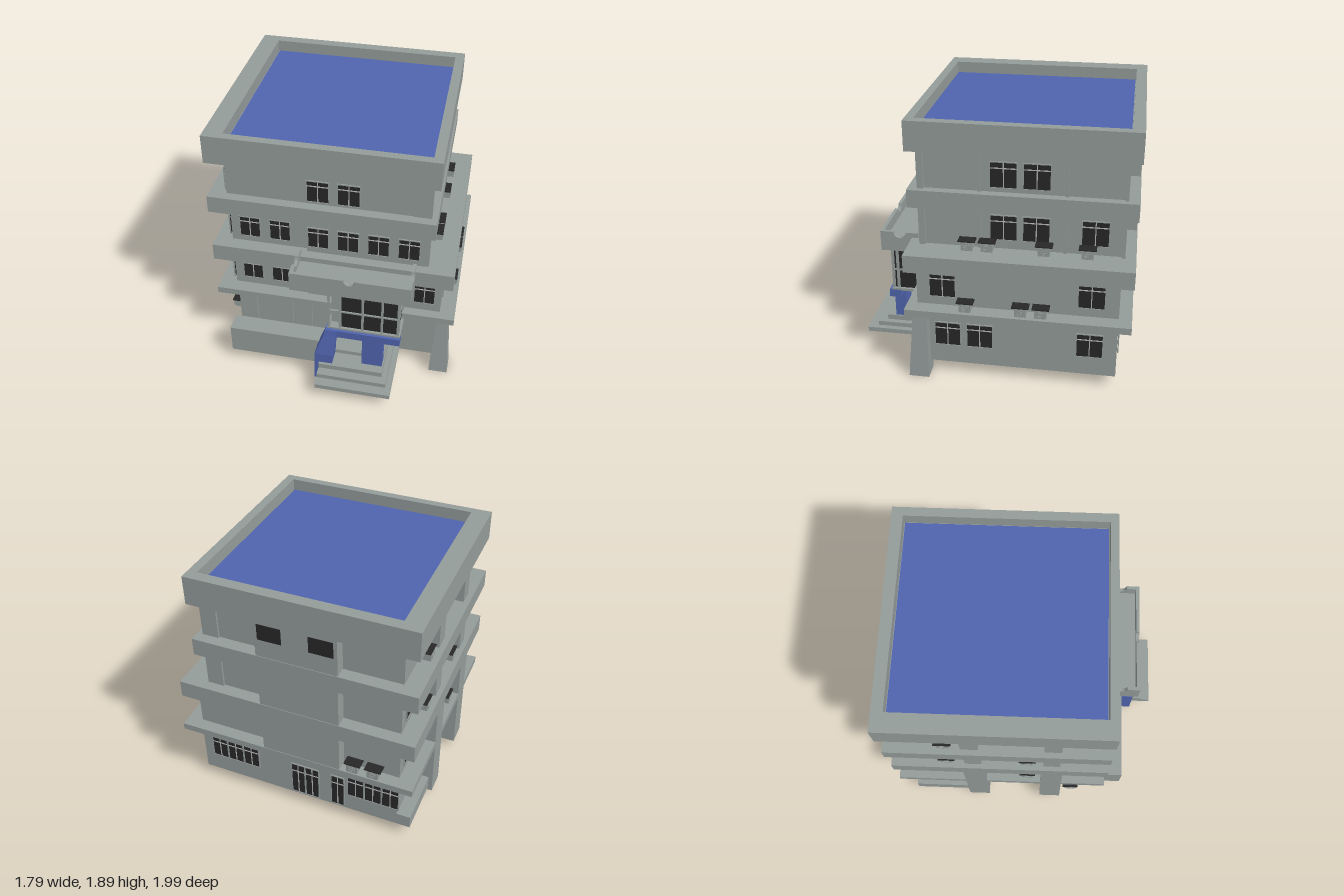
import * as THREE from 'three';

const mat = (name, color) => {
  const m = new THREE.MeshStandardMaterial({ color });
  m.name = name;
  return m;
};

export function createModel() {
  const wall = mat('concrete grey', 0x949c9a);
  const blue = mat('blue paint', 0x5064ae);
  const dark = mat('dark glass', 0x272727);
  const frame = mat('window frame grey', 0xb2b5b3);
  const model = new THREE.Group();
  model.name = 'officeBuilding';

  const add = (parent, name, geo, m) => {
    const mesh = new THREE.Mesh(geo, m);
    mesh.name = name;
    parent.add(mesh);
    return mesh;
  };
  // Box given by its limits on each axis
  const box = (name, x0, x1, y0, y1, z0, z1, m = wall, parent = model) => {
    const mesh = add(parent, name, new THREE.BoxGeometry(x1 - x0, y1 - y0, z1 - z0), m);
    mesh.position.set((x0 + x1) / 2, (y0 + y1) / 2, (z0 + z1) / 2);
    return mesh;
  };
  // Solid through rectangular sections [y, x0, x1, z0, z1], bottom to top
  const loft = (name, sections, m) => {
    const pos = [];
    const ring = ([y, x0, x1, z0, z1]) => [[x0, y, z1], [x1, y, z1], [x1, y, z0], [x0, y, z0]];
    const quad = (a, b, c, d) => pos.push(...a, ...b, ...c, ...a, ...c, ...d);
    const rings = sections.map(ring);
    for (let i = 0; i < rings.length - 1; i++)
      for (let k = 0; k < 4; k++) {
        const n = (k + 1) % 4;
        quad(rings[i][k], rings[i][n], rings[i + 1][n], rings[i + 1][k]);
      }
    const top = rings[rings.length - 1], low = rings[0];
    quad(top[0], top[1], top[2], top[3]);
    quad(low[3], low[2], low[1], low[0]);
    const geo = new THREE.BufferGeometry();
    geo.setAttribute('position', new THREE.Float32BufferAttribute(pos, 3));
    geo.computeVertexNormals();
    return add(model, name, geo, m);
  };

  // Storeys: [name, x0, x1, y0, y1, z0, z1]
  [
    ['groundFloor', -0.76, 0.78, 0.09, 0.52, -0.89, 0.49],
    ['secondFloor', -0.77, 0.77, 0.55, 0.86, -0.89, 0.49],
    ['secondFloorFront', -0.21, 0.77, 0.55, 0.86, 0.4, 0.52],
    ['thirdFloor', -0.77, 0.64, 0.95, 1.28, -0.89, 0.49],
    ['thirdFloorFront', -0.21, 0.64, 0.95, 1.28, 0.4, 0.52],
    ['topFloor', -0.775, 0.635, 1.37, 1.7, -0.89, 0.51],
    ['lowerSlab', -0.89, 0.88, 0.51, 0.56, -0.98, 0.59],
    ['secondFloorBand', -0.893, 0.85, 0.84, 0.97, -0.98, 0.59],
    ['thirdFloorBand', -0.9, 0.697, 1.26, 1.39, -0.98, 0.58],
    ['roofSlab', -0.895, 0.705, 1.67, 1.79, -0.98, 0.58],
    ['backStairShaft', -0.36, 0.22, 0.55, 1.7, -0.976, -0.85],
  ].forEach((s) => box(...s));

  // Roof surface and parapet
  box('roofSurface', -0.752, 0.63, 1.785, 1.8, -0.895, 0.515, blue);
  box('parapetLeft', -0.895, -0.76, 1.78, 1.882, -0.98, 0.58);
  box('parapetRight', 0.638, 0.705, 1.78, 1.882, -0.98, 0.58);
  box('parapetFront', -0.76, 0.638, 1.78, 1.882, 0.52, 0.58);
  box('parapetBack', -0.76, 0.638, 1.78, 1.882, -0.98, -0.9);

  // Left columns
  for (const [z0, z1] of [[-0.47, -0.31], [0.1, 0.26]]) {
    box('leftColumnLower', -0.89, -0.775, 0.06, 0.86, z0, z1);
    box('leftColumnUpper', -0.86, -0.795, 0.95, 1.7, z0 + 0.02, z1 - 0.02);
  }
  box('leftCurb', -0.86, -0.75, 0.09, 0.19, -0.89, -0.47);

  // Tapered corner pillar
  loft('cornerPillar', [[0, 0.73, 0.87, 0.435, 0.58], [0.52, 0.755, 0.835, 0.44, 0.54]], wall);

  // Pilasters on the right and front walls
  for (const [x, y0, y1] of [[0.64, 0.96, 1.27], [0.635, 1.38, 1.68]]) {
    for (const z of [0.09, -0.5]) box('rightPilaster', x - 0.01, x + 0.015, y0, y1, z - 0.012, z + 0.012);
    box('rightCornerPost', x - 0.1, x + 0.022, y0, y1, 0.47, 0.515);
    box('rightRearPost', x - 0.1, x + 0.022, y0, y1, -0.905, -0.88);
  }
  for (const x of [-0.63, -0.35, -0.2]) box('frontPilaster', x - 0.012, x + 0.012, 0.09, 0.52, 0.48, 0.51);

  // Window or door: u runs to the viewer's right along the given wall
  const turns = { front: 0, right: Math.PI / 2, back: Math.PI, left: -Math.PI / 2 };
  const opening = (side, at, u, y, w, h, bars = true, name = 'Window') => {
    const g = new THREE.Group();
    g.name = side + name;
    const t = 0.007;
    box('glass', -w / 2, w / 2, -h / 2, h / 2, 0, 0.004, dark, g);
    if (bars) {
      for (const s of [-1, 1]) {
        box('sideFrame', s * w / 2 - t / 2, s * w / 2 + t / 2, -h / 2, h / 2, 0, 0.009, wall, g);
        box('rail', -w / 2, w / 2, s * h / 2 - t / 2, s * h / 2 + t / 2, 0, 0.009, wall, g);
      }
      box('transom', -w / 2, w / 2, h * 0.26 - t / 2, h * 0.26 + t / 2, 0, 0.008, frame, g);
      box('mullion', -t / 2, t / 2, -h / 2, h / 2, 0, 0.008, frame, g);
    }
    g.rotation.y = turns[side];
    if (side === 'front' || side === 'back') g.position.set(u, y, at);
    else g.position.set(at, y, u);
    model.add(g);
  };

  // Front windows
  for (const x of [-0.125, 0.09]) opening('front', 0.512, x, 1.496, 0.155, 0.17);
  for (const x of [-0.63, -0.41]) {
    opening('front', 0.492, x, 1.105, 0.15, 0.17);
    opening('front', 0.492, x, 0.71, 0.15, 0.17);
  }
  for (const x of [-0.125, 0.09, 0.305, 0.52]) opening('front', 0.522, x, 1.105, 0.15, 0.17);
  opening('front', 0.522, 0.65, 0.715, 0.15, 0.17);

  // Right windows: wall x, height, positions along z
  for (const [x, y, zs] of [
    [0.637, 1.515, [-0.075, -0.3]],
    [0.642, 1.13, [-0.075, -0.3, -0.7]],
    [0.772, 0.72, [0.335, -0.7]],
    [0.782, 0.33, [0.305, 0.075, -0.7]],
  ]) for (const z of zs) opening('right', x, z, y, 0.185, 0.185);

  // Left windows
  for (const [x, y, zs] of [
    [-0.777, 1.51, [-0.15, 0.04, 0.42]],
    [-0.772, 1.12, [-0.74, -0.56, 0.0, 0.42]],
    [-0.772, 0.71, [-0.74, -0.56, 0.42]],
  ]) for (const z of zs) opening('left', x, z, y, 0.17, 0.18);

  // Back windows and doors
  for (const x of [0.64, 0.51, 0.38, -0.45, -0.58, -0.71]) opening('back', -0.892, x, 0.33, 0.125, 0.18);
  for (const x of [0.11, -0.25]) opening('back', -0.978, x, 1.59, 0.17, 0.12, false);
  for (const x of [0.0, -0.11]) opening('back', -0.892, x, 0.25, 0.105, 0.28, true, 'Door');
  opening('back', -0.892, -0.31, 0.25, 0.1, 0.28, true, 'Door');

  // Air conditioners with dark tops; the fan faces outwards
  const cooler = (side, x, y, z) => {
    const g = new THREE.Group();
    g.name = 'airConditioner';
    box('case', -0.04, 0.04, 0, 0.065, -0.035, 0.035, wall, g);
    box('lid', -0.06, 0.06, 0.065, 0.072, -0.038, 0.038, dark, g);
    const ring = add(g, 'fanRing', new THREE.TorusGeometry(0.024, 0.003, 4, 16), wall);
    ring.position.set(0, 0.032, 0.036);
    for (const d of [-0.01, 0.01]) box('fanBar', -0.022, 0.022, 0.03 + d, 0.034 + d, 0.035, 0.039, wall, g);
    g.position.set(x, y, z);
    g.rotation.y = turns[side];
    model.add(g);
  };
  for (const z of [0.17, 0.03, -0.36, -0.655]) cooler('right', 0.69, 0.975, z);
  for (const z of [0.165, -0.22, -0.36]) cooler('right', 0.825, 0.565, z);
  for (const x of [-0.45, -0.6]) cooler('back', x, 0.56, -0.935);
  for (const [y, z] of [[1.39, -0.57], [0.97, -0.58], [0.97, 0.0], [0.56, 0.0], [0.19, 0.34]]) cooler('left', -0.82, y, z);

  // Entrance canopy: panels with a round scoop in the top edge
  const scoopPanel = (name, len, r) => {
    const s = new THREE.Shape();
    s.moveTo(-len / 2, 0);
    s.lineTo(len / 2, 0);
    s.lineTo(len / 2, 0.15);
    s.lineTo(r, 0.15);
    s.absarc(0, 0.15, r, 0, Math.PI, true);
    s.lineTo(-len / 2, 0.15);
    return add(model, name, new THREE.ExtrudeGeometry(s, { depth: 0.025, bevelEnabled: false, curveSegments: 10 }), wall);
  };
  scoopPanel('canopyFront', 0.85, 0.042).position.set(0.155, 0.855, 0.795);
  for (const x of [-0.27, 0.555]) {
    const p = scoopPanel('canopySide', 0.27, 0.045);
    p.rotation.y = Math.PI / 2;
    p.position.set(x, 0.855, 0.68);
  }
  box('canopyFloor', -0.265, 0.575, 0.857, 0.93, 0.5, 0.8);

  // Glazed bay above the entrance
  box('bayFloor', -0.01, 0.52, 0.49, 0.51, 0.5, 0.78);
  box('bayGlass', 0.09, 0.5, 0.51, 0.86, 0.5, 0.76, dark);
  box('bayLeftWall', 0.01, 0.09, 0.51, 0.86, 0.5, 0.72);
  for (const x of [0.0, 0.08, 0.245, 0.385, 0.5]) box('bayMullion', x - 0.008, x + 0.008, 0.5, 0.86, 0.755, 0.775);
  for (const z of [0.73, 0.55]) box('baySideMullion', 0.495, 0.51, 0.5, 0.86, z - 0.01, z + 0.01);
  for (const y of [0.66, 0.82]) {
    box('bayTransom', 0.0, 0.51, y - 0.006, y + 0.006, 0.755, 0.77);
    box('baySideTransom', 0.495, 0.507, y - 0.006, y + 0.006, 0.52, 0.77);
  }

  // Blue entrance frame
  box('entranceBeam', -0.01, 0.52, 0.435, 0.495, 0.715, 0.8, blue);
  box('entranceRightLeg', 0.25, 0.4, 0.19, 0.436, 0.715, 0.8, blue);
  loft('entranceLeftLeg', [
    [0.03, -0.095, 0.035, 0.715, 0.845],
    [0.28, -0.092, 0.04, 0.715, 0.845],
    [0.45, -0.03, 0.06, 0.715, 0.81],
    [0.497, -0.02, 0.065, 0.715, 0.803],
  ], blue);

  // Entrance doorway and steps
  opening('front', 0.492, 0.2, 0.335, 0.11, 0.21, false, 'Door');
  box('doorPost', 0.05, 0.14, 0.2, 0.44, 0.48, 0.53);
  [[0.49, 0.125, 1], [0.45, 0.16, 0.93], [0.41, 0.2, 0.865], [0.4, 0.232, 0.73]].forEach(([x, y, z]) =>
    box('entranceStep', -0.06, x, 0.09, y, 0.48, z));

  // Access ramp with a low wall
  loft('accessRamp', [[0.09, -0.76, -0.06, 0.48, 0.73], [0.17, -0.76, -0.06, 0.48, 0.73]], wall);
  box('rampWall', -0.76, -0.05, 0.09, 0.315, 0.61, 0.75);

  // The building leans very slightly
  model.rotation.set(0, 0.011, -0.007);
  const root = new THREE.Group();
  root.name = 'building';
  root.add(model);
  return root;
}
